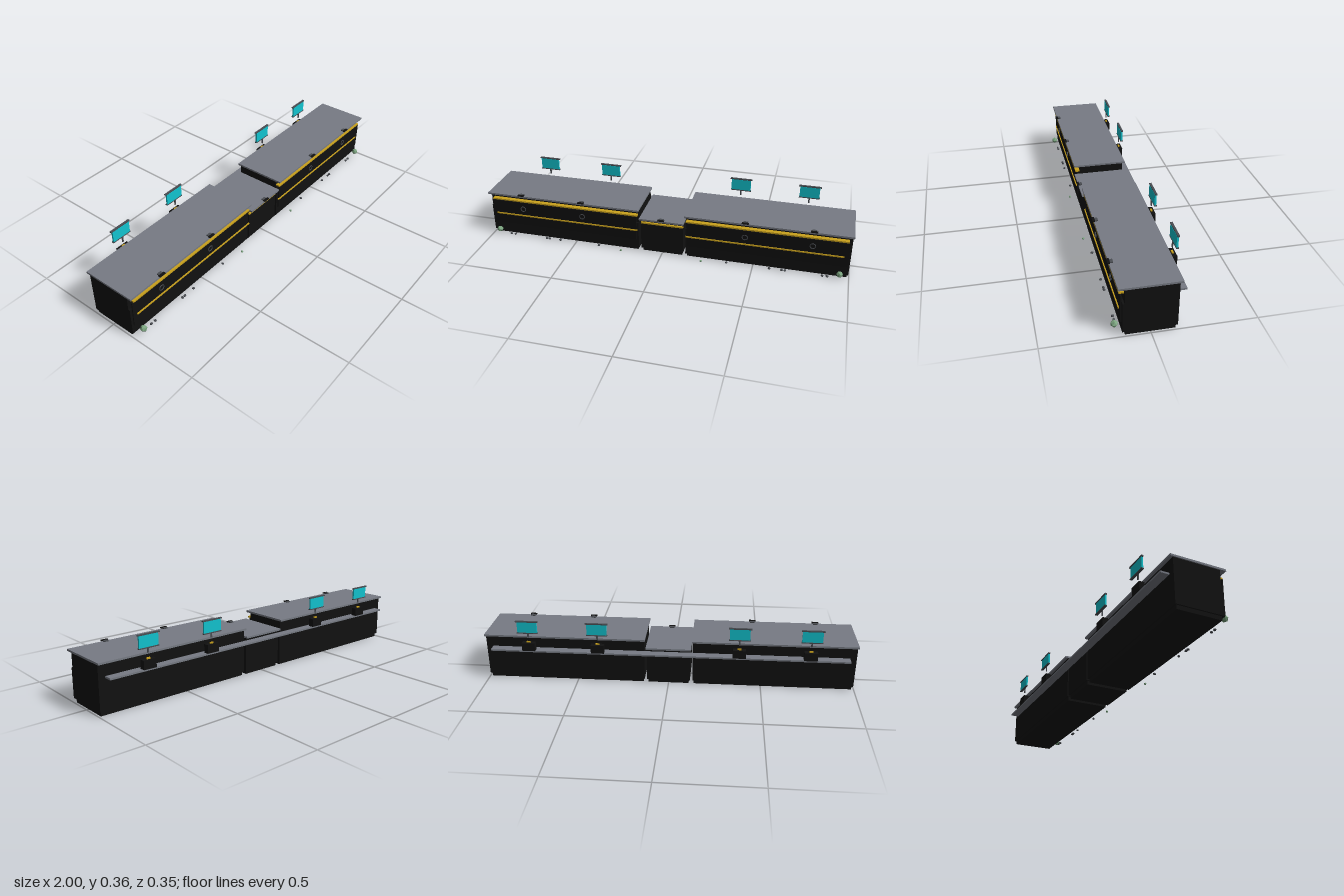
import * as THREE from 'three';

const mat = (name, color, extra = {}) => {
  const m = new THREE.MeshStandardMaterial({ color, ...extra });
  m.name = name;
  return m;
};

export function createModel() {
  const root = new THREE.Group();
  root.name = 'counter';
  const black = mat('black', 0x111111);
  const grey = mat('slate grey', 0x777b84);
  const darkGrey = mat('dark grey', 0x4a4d52, { flatShading: true });
  const gold = mat('gold', 0xc9a11c);
  const cyan = mat('cyan screen', 0x12c4d0);
  const green = mat('pale green', 0x7da681, { flatShading: true });

  const add = (name, geo, material, x, y, z, parent = root) => {
    const m = new THREE.Mesh(geo, material);
    m.name = name;
    m.position.set(x, y, z);
    parent.add(m);
    return m;
  };
  // Box given by its limits on each axis
  const box = (name, material, x0, x1, y0, y1, z0, z1, parent = root) =>
    add(name, new THREE.BoxGeometry(x1 - x0, y1 - y0, z1 - z0), material,
      (x0 + x1) / 2, (y0 + y1) / 2, (z0 + z1) / 2, parent);

  // One counter section: plinth, cabinet, lower front panel and worktop
  const section = (name, x0, x1, top) => {
    const g = new THREE.Group();
    g.name = name;
    root.add(g);
    box('plinth', black, x0 + 0.012, x1 - 0.012, 0, 0.022, -0.114, 0.116, g);
    box('cabinet', black, x0 + 0.005, x1 - 0.005, 0.021, top - 0.01, -0.123, 0.121, g);
    box('lowerFrontPanel', black, x0 + 0.005, x1 - 0.005, 0.021, 0.175, 0.12, 0.13, g);
    box('worktop', grey, x0, x1, top - 0.01, top, -0.138, 0.152, g);
    return g;
  };

  // Clip lamp on the front edge of a worktop
  const clip = (x, y, parent) => {
    box('clipFoot', darkGrey, x - 0.012, x + 0.012, y, y + 0.006, 0.132, 0.147, parent);
    box('clipLamp', black, x - 0.018, x + 0.018, y + 0.002, y + 0.007, 0.147, 0.16, parent);
  };

  // Low centre section
  const centre = section('centreSection', -0.122, 0.122, 0.215);
  box('centreStripe', gold, -0.117, 0.117, 0.176, 0.184, 0.121, 0.132, centre);
  clip(0, 0.215, centre);

  // Tall outer sections, mirrored
  for (const s of [-1, 1]) {
    const lo = s < 0 ? -1 : 0.126, hi = s < 0 ? -0.126 : 1;
    const g = section(s < 0 ? 'rightSection' : 'leftSection', lo, hi, 0.263);
    const panel = box('slopedPanel', black, lo + 0.015, hi - 0.015, 0.072, 0.216, 0.133, 0.139, g);
    panel.rotation.x = 0.02;
    const a = s < 0 ? -0.978 : 0.134, b = s < 0 ? -0.134 : 0.978;
    box('upperStripe', gold, a, b, 0.221, 0.229, 0.12, 0.145, g);
    box('lowerStripe', gold, s < 0 ? -0.963 : a, s < 0 ? b : 0.963, 0.131, 0.138, 0.137, 0.144, g);
    for (const x of [0.45, 0.8]) {
      add('ringOrnament', new THREE.TorusGeometry(0.0145, 0.0022, 6, 12), darkGrey, s * x, 0.177, 0.143, g);
      clip(s * x, 0.263, g);
    }

    // Terminals with floating screens on the rear shelf
    for (const x of [0.377, 0.75]) {
      const t = new THREE.Group();
      t.name = 'terminal';
      t.position.x = s * x;
      root.add(t);
      box('base', black, -0.035, 0.035, 0.191, 0.236, -0.173, -0.144, t);
      box('reader', darkGrey, -0.018, 0.018, 0.221, 0.228, -0.144, -0.136, t);
      box('indicator', gold, -0.01, 0.01, 0.236, 0.243, -0.163, -0.154, t);
      box('stem', darkGrey, -0.004, 0.004, 0.266, 0.295, -0.16, -0.155, t);
      box('lowerBar', darkGrey, -0.056, 0.056, 0.292, 0.297, -0.171, -0.158, t);
      box('screen', cyan, -0.053, 0.053, 0.297, 0.357, -0.168, -0.159, t);
      box('upperBar', darkGrey, -0.06, 0.06, 0.357, 0.363, -0.171, -0.16, t);
    }

    // Shrub and scattered stones along the foot
    add('shrub', new THREE.IcosahedronGeometry(0.018, 0), green, s * 0.951, 0.038, 0.157);
    add('sprig', new THREE.IcosahedronGeometry(0.007, 0), green, s * 0.225, 0.011, 0.167);
    [0.36, 0.59, 0.655, 0.672, 0.865, 0.89].forEach((x, i) => {
      const stone = add('stone', new THREE.IcosahedronGeometry(0.009, 0), darkGrey, s * x, 0.009, 0.145);
      stone.scale.set(0.8, 0.75, 1);
      stone.rotation.y = i * 0.9;
    });
  }

  // Continuous shelf along the back
  box('rearShelf', grey, -0.96, 0.96, 0.182, 0.191, -0.168, -0.122);
  return root;
}
